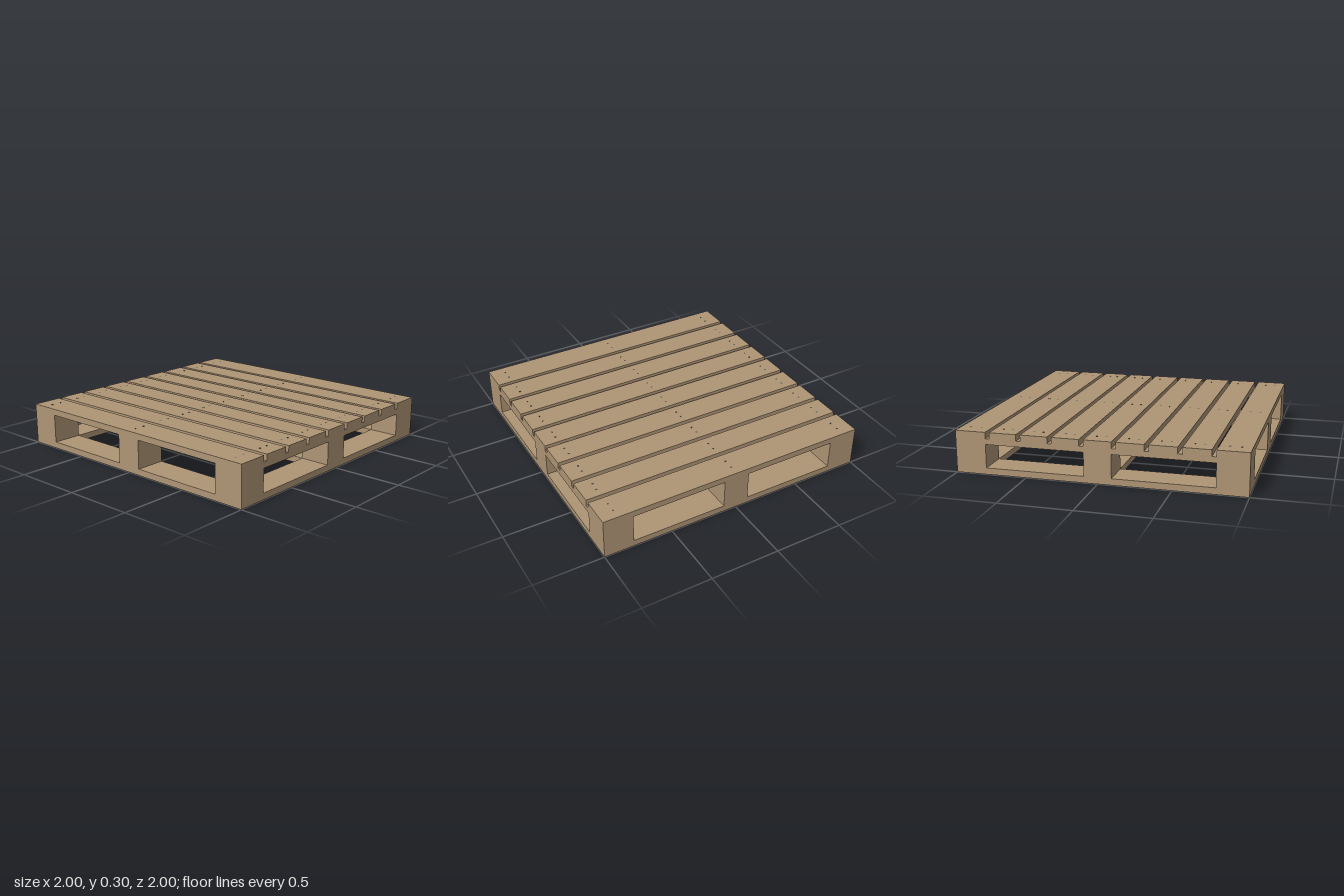
import * as THREE from 'three';

const wood = new THREE.MeshStandardMaterial({ color: 0xaf9576 });
wood.name = 'wood';
const steel = new THREE.MeshStandardMaterial({ color: 0x505256 });
steel.name = 'nail steel';

// Heights of the layers, from the floor up
const BASE = 0.045, BLOCK = 0.21, STRINGER = 0.25, TOP = 0.295;
// The three rows across the pallet: [from, to]
const ROWS = [[-1, -0.785], [-0.095, 0.095], [0.785, 1]];
const mid = ([a, b]) => (a + b) / 2;

function board(parent, name, [x0, x1], [y0, y1], [z0, z1]) {
  const mesh = new THREE.Mesh(new THREE.BoxGeometry(x1 - x0, y1 - y0, z1 - z0), wood);
  mesh.position.set((x0 + x1) / 2, (y0 + y1) / 2, (z0 + z1) / 2);
  mesh.name = name;
  parent.add(mesh);
}

const nailGeometry = new THREE.CylinderGeometry(0.007, 0.007, 0.004, 10);
function nail(parent, x, y, z) {
  const mesh = new THREE.Mesh(nailGeometry, steel);
  mesh.position.set(x, y, z);
  mesh.name = 'nail';
  parent.add(mesh);
}

export function createModel() {
  const pallet = new THREE.Group();
  pallet.name = 'pallet';
  const groups = {};
  for (const name of ['base', 'blocks', 'stringers', 'deck', 'nails']) {
    groups[name] = new THREE.Group();
    groups[name].name = name;
    pallet.add(groups[name]);
  }
  const { base, blocks, stringers, deck, nails } = groups;

  // Base: three boards across, joined by side boards between them
  for (const row of ROWS) board(base, 'baseBoard', [-1, 1], [0, BASE], row);
  for (const side of [ROWS[0], ROWS[2]]) {
    board(base, 'baseSideBoard', side, [0, BASE], [-0.785, -0.095]);
    board(base, 'baseSideBoard', side, [0, BASE], [0.095, 0.785]);
  }

  // Nine blocks, nailed from below
  for (const col of ROWS) {
    for (const row of ROWS) {
      board(blocks, 'block', col, [BASE, BLOCK], row);
      const x = mid(col), z = mid(row);
      for (const d of [-0.036, 0.036]) {
        if (x === 0) nail(nails, x, 0.001, z + d);
        else nail(nails, x + d, 0.001, z);
      }
    }
    // Stringer running front to back over the blocks
    board(stringers, 'stringer', col, [BLOCK, STRINGER], [-1, 1]);
  }

  // Deck: nine boards with narrow gaps, the outer two wider
  let z = -1;
  for (let i = 0; i < 9; i++) {
    const outer = i === 0 || i === 8;
    const width = outer ? 0.215 : 0.19;
    board(deck, 'deckBoard', [-1, 1], [STRINGER, TOP], [z, z + width]);
    const d = outer ? 0.037 : 0.033;
    for (const col of ROWS) {
      nail(nails, mid(col), TOP - 0.001, z + width / 2 - d);
      nail(nails, mid(col), TOP - 0.001, z + width / 2 + d);
    }
    z += width + 0.03;
  }
  return pallet;
}
